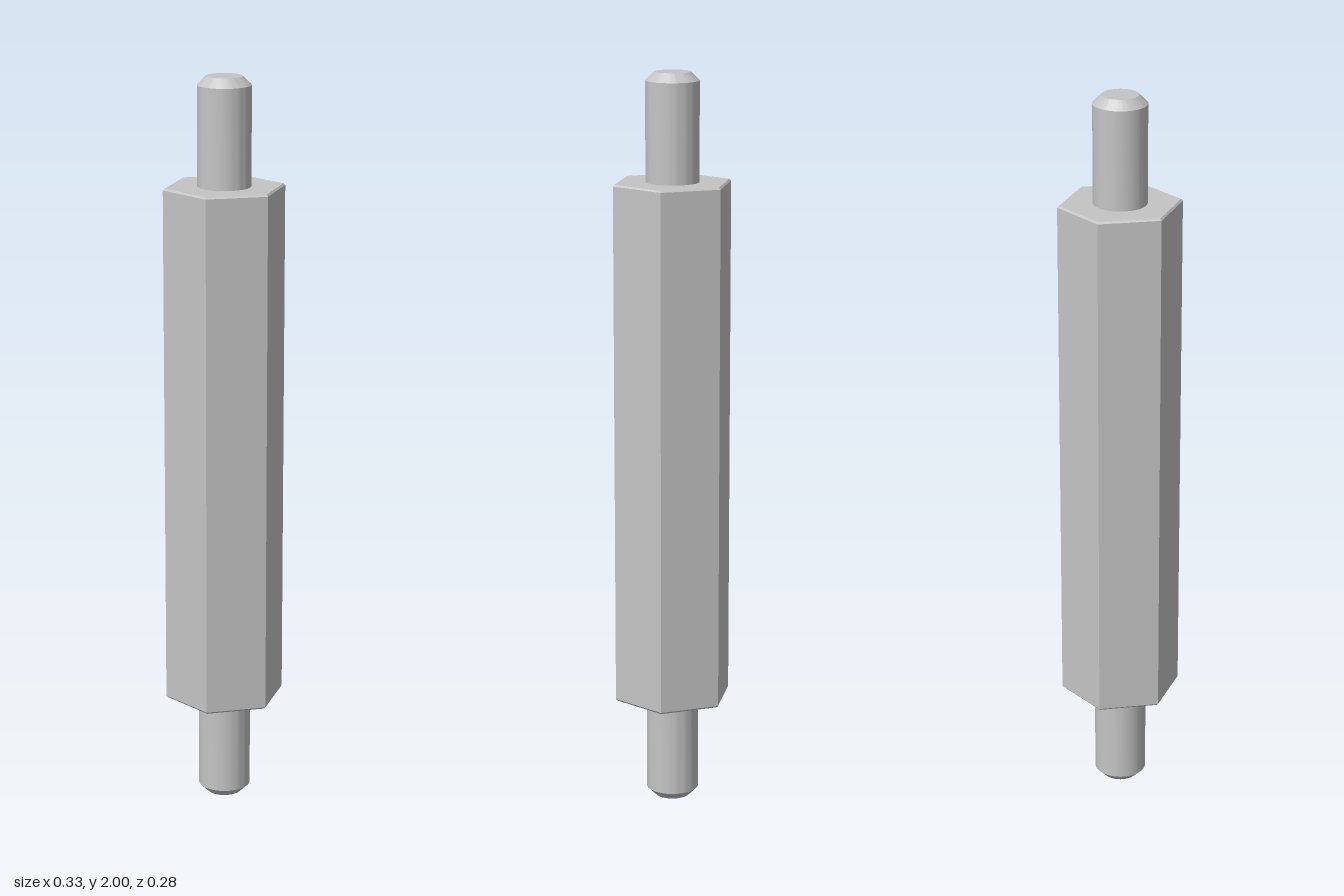
import * as THREE from 'three';
import { toCreasedNormals } from 'three/addons/utils/BufferGeometryUtils.js';

const BODY_BOTTOM = 0.29, BODY_TOP = 1.713;
const HEX_RADIUS = 0.164, HEX_BEVEL = 0.005;
const STUD_RADIUS = 0.071, TIP_RADIUS = 0.048, TIP_BEVEL = 0.023;

// Revolves [radius, height] pairs, listed bottom to top, keeping edges sharp
function turned(profile, sides, phiStart = 0) {
  const points = profile.map(([r, y]) => new THREE.Vector2(r, y));
  return toCreasedNormals(new THREE.LatheGeometry(points, sides, phiStart), 0.4);
}

export function createModel() {
  const group = new THREE.Group();
  const steel = new THREE.MeshStandardMaterial({ color: 0xc4c4c4 });
  steel.name = 'steel';

  const add = (name, geometry) => {
    const mesh = new THREE.Mesh(geometry, steel);
    mesh.name = name;
    group.add(mesh);
  };

  // Hexagonal body with corners on the x axis and finely bevelled ends
  add('hexBody', turned([
    [0, BODY_BOTTOM],
    [HEX_RADIUS - HEX_BEVEL, BODY_BOTTOM],
    [HEX_RADIUS, BODY_BOTTOM + HEX_BEVEL],
    [HEX_RADIUS, BODY_TOP - HEX_BEVEL],
    [HEX_RADIUS - HEX_BEVEL, BODY_TOP],
    [0, BODY_TOP],
  ], 6, Math.PI / 2));

  // Round studs with chamfered tips
  add('upperStud', turned([
    [STUD_RADIUS, BODY_TOP],
    [STUD_RADIUS, 2 - TIP_BEVEL],
    [TIP_RADIUS, 2],
    [0, 2],
  ], 64));
  add('lowerStud', turned([
    [0, 0],
    [TIP_RADIUS, 0],
    [STUD_RADIUS, TIP_BEVEL],
    [STUD_RADIUS, BODY_BOTTOM],
  ], 64));

  return group;
}
